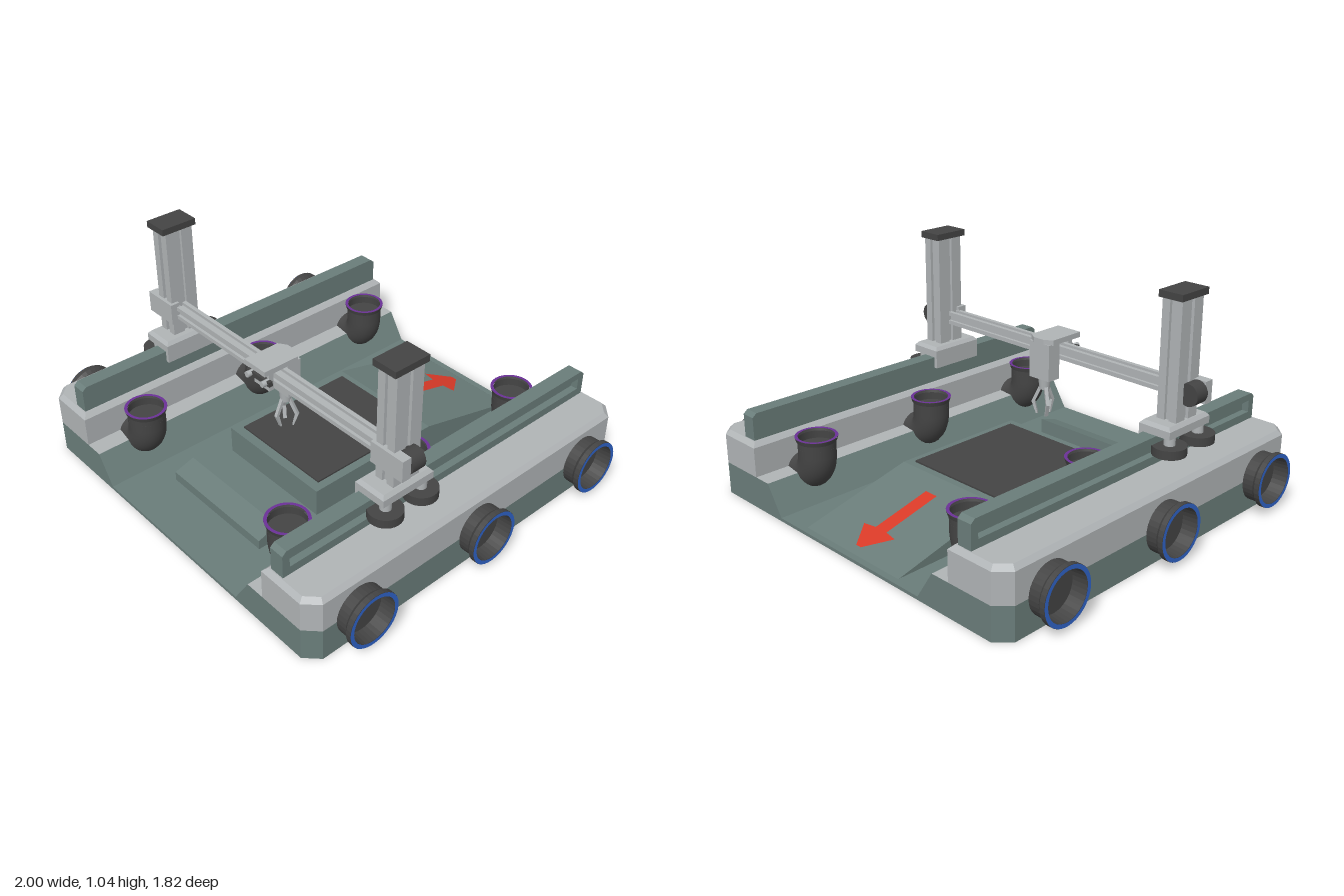
import * as THREE from 'three';

const mat = (name, color, side = THREE.FrontSide) => {
  const m = new THREE.MeshStandardMaterial({ color, side });
  m.name = name;
  return m;
};

export function createModel() {
  const D = THREE.DoubleSide;
  const grey = mat('light grey', 0xb0b4b6, D);
  const green = mat('grey green', 0x6a7d7a, D);
  const dark = mat('charcoal', 0x444444, D);
  const blue = mat('blue', 0x2f63c8, D);
  const purple = mat('purple', 0x6b3196, D);
  const red = mat('red', 0xd93a28, D);
  const root = new THREE.Group();

  const add = (name, geo, m, x = 0, y = 0, z = 0) => {
    const mesh = new THREE.Mesh(geo, m);
    mesh.name = name;
    mesh.position.set(x, y, z);
    root.add(mesh);
    return mesh;
  };
  // box between two corners, mirrored in x by s
  const box = (name, m, x0, x1, y0, y1, z0, z1, s = 1) =>
    add(name, new THREE.BoxGeometry(x1 - x0, y1 - y0, z1 - z0), m,
      s * (x0 + x1) / 2, (y0 + y1) / 2, (z0 + z1) / 2);

  // faceted skin through closed rings of points, optionally closed at the last ring
  const loft = (rings, cap, s) => {
    const p = [], n = rings[0].length;
    const tri = (a, b, c) => {
      for (const v of s > 0 ? [a, b, c] : [a, c, b]) p.push(v[0] * s, v[1], v[2]);
    };
    for (let r = 0; r + 1 < rings.length; r++) {
      const A = rings[r], B = rings[r + 1];
      for (let i = 0; i < n; i++) {
        const j = (i + 1) % n;
        tri(A[i], B[j], A[j]);
        tri(A[i], B[i], B[j]);
      }
    }
    const L = rings[rings.length - 1];
    if (cap) for (let i = 1; i + 1 < n; i++) tri(L[0], L[i + 1], L[i]);
    const g = new THREE.BufferGeometry();
    g.setAttribute('position', new THREE.Float32BufferAttribute(p, 3));
    g.computeVertexNormals();
    return g;
  };
  // plan outline of a side pod, corners cut on the outer side
  const ring = (xi, y, d = 0) => [
    [xi + d, y, 0.91 - d], [xi + d, y, -0.91 + d], [0.85 - d / 2, y, -0.91 + d],
    [0.91 - d, y, -0.85 + d / 2], [0.91 - d, y, 0.85 - d / 2], [0.85 - d / 2, y, 0.91 - d]];

  // slotted aluminium profile, w by h, extruded along z
  const slotted = (w, h, len) => {
    const a = w / 2, b = h / 2, g = 0.012, d = 0.014;
    const pts = [[-a, -b], [-g, -b], [-g, -b + d], [g, -b + d], [g, -b], [a, -b],
      [a, -g], [a - d, -g], [a - d, g], [a, g], [a, b],
      [g, b], [g, b - d], [-g, b - d], [-g, b], [-a, b],
      [-a, g], [-a + d, g], [-a + d, -g], [-a, -g]];
    const shape = new THREE.Shape(pts.map(([x, y]) => new THREE.Vector2(x, y)));
    return new THREE.ExtrudeGeometry(shape, { depth: len, bevelEnabled: false });
  };
  const rect = (C, x0, x1, y0, y1) => new C([[x0, y0], [x1, y0], [x1, y1], [x0, y1]]
    .map(([x, y]) => new THREE.Vector2(x, y)));
  // side profile (z, y) swept across the width in x
  const across = (pts, w) => {
    const g = loft([-w, w].map(x => pts.map(([z, y]) => [x, y, z])), false, 1);
    return g;
  };

  // floor sheet, open under the platform and the step
  const floor = rect(THREE.Shape, -0.45, 0.45, -0.91, 0.91);
  floor.holes.push(rect(THREE.Path, -0.3, 0.3, -0.35, 0.88), rect(THREE.Path, -0.3, 0.3, -0.67, -0.57));
  add('floor', new THREE.ExtrudeGeometry(floor, { depth: 0.015, bevelEnabled: false })
    .rotateX(-Math.PI / 2), green);

  // hollow shells: top skin swept in x, plus two side plates
  const shell = (name, pts) => {
    const skin = [...pts, ...pts.slice(1, -1).reverse()];
    add(name, across(skin, 0.3), green);
    const side = new THREE.Shape(pts.map(([z, y]) => new THREE.Vector2(-z, y)));
    for (const s of [-1, 1])
      add(name + 'Side', new THREE.ShapeGeometry(side).rotateY(Math.PI / 2), green, s * 0.3);
  };
  shell('platform', [[0.35, 0.01], [0.35, 0.147], [-0.34, 0.147], [-0.88, 0.014]]);
  shell('frontStep', [[0.67, 0.01], [0.67, 0.06], [0.57, 0.09], [0.57, 0.01]]);
  box('platformPad', dark, -0.26, 0.26, 0.147, 0.155, -0.305, 0.305);

  // painted arrow lying on the ramp
  const arrow = new THREE.Shape([[-0.035, 0.44], [0.035, 0.44], [0.035, 0.72], [0.1, 0.73],
    [0.015, 0.84], [-0.015, 0.84], [-0.1, 0.73], [-0.035, 0.72]].map(([x, y]) => new THREE.Vector2(x, y)));
  const arrowGeo = new THREE.ShapeGeometry(arrow).rotateX(-Math.PI / 2);
  const ap = arrowGeo.attributes.position;
  for (let i = 0; i < ap.count; i++)
    ap.setY(i, 0.147 + (ap.getZ(i) + 0.34) * (0.133 / 0.54) + 0.004);
  arrowGeo.computeVertexNormals();
  add('rampArrow', arrowGeo, red);

  for (const s of [-1, 1]) {
    // side pod, open underneath
    add('podBase', loft([ring(0.44, 0), ring(0.535, 0.15)], false, s), green);
    add('podTop', loft([ring(0.535, 0.15), ring(0.625, 0.15), ring(0.625, 0.288),
      ring(0.625, 0.308, 0.02)], true, s), grey);

    // rail with a channel on the outer side
    box('railWeb', green, 0.655, 0.692, 0.3, 0.415, -0.885, 0.885, s);
    box('railFoot', green, 0.692, 0.725, 0.3, 0.345, -0.885, 0.885, s);
    box('railLip', green, 0.692, 0.725, 0.4, 0.415, -0.885, 0.885, s);
    const capRing = (y, z) => [[0.655, y, z], [0.655, y, -z], [0.725, y, -z], [0.725, y, z]];
    add('railTop', loft([capRing(0.415, 0.885), capRing(0.432, 0.865)], true, s), green);
    for (const e of [-1, 1])
      box('railEnd', green, 0.692, 0.725, 0.345, 0.4, e * 0.8675 - 0.0175, e * 0.8675 + 0.0175, s);

    for (const z of [-0.67, 0, 0.67]) {
      // outer port, flared and hollow
      const port = new THREE.LatheGeometry([[0.112, 0], [0.112, 0.06], [0.125, 0.075], [0.125, 0.098],
        [0.106, 0.098], [0.1, 0.03], [0, 0.03]].map(([r, y]) => new THREE.Vector2(r, y)), 32)
        .toNonIndexed();
      port.computeVertexNormals();
      add('outerPort', port, dark, s * 0.9, 0.15, z).rotation.z = -s * Math.PI / 2;
      add('outerPortRing', new THREE.RingGeometry(0.106, 0.124, 32), blue, s * 0.9995, 0.15, z)
        .rotation.y = s * Math.PI / 2;

      // elbow pipe, slimmer where it enters the pod
      const path = new THREE.CurvePath();
      const v = (x, y) => new THREE.Vector3(s * x, y, z);
      path.add(new THREE.LineCurve3(v(0.72, 0.125), v(0.62, 0.125)));
      path.add(new THREE.QuadraticBezierCurve3(v(0.62, 0.125), v(0.495, 0.125), v(0.495, 0.235)));
      path.add(new THREE.LineCurve3(v(0.495, 0.235), v(0.495, 0.305)));
      const N = 20, R = 24, tube = new THREE.TubeGeometry(path, N, 0.085, R);
      const tp = tube.attributes.position, q = new THREE.Vector3();
      for (let i = 0; i < tp.count; i++) {
        const t = Math.floor(i / (R + 1)) / N, c = path.getPointAt(t);
        q.fromBufferAttribute(tp, i).sub(c).multiplyScalar(Math.min(1, 0.78 + 0.4 * t)).add(c);
        tp.setXYZ(i, q.x, q.y, q.z);
      }
      add('elbowPipe', tube, dark);
      add('elbowRim', new THREE.CylinderGeometry(0.096, 0.09, 0.02, 32, 1, true), dark, s * 0.495, 0.308, z);
      add('elbowRing', new THREE.RingGeometry(0.082, 0.096, 32), purple, s * 0.495, 0.319, z)
        .rotation.x = -Math.PI / 2;
      add('elbowInside', new THREE.CircleGeometry(0.085, 32), dark, s * 0.495, 0.27, z)
        .rotation.x = -Math.PI / 2;
    }

    // carriage riding on the rail
    const cr = (y, d) => [[0.635 + d, y, 0.44 - d], [0.635 + d, y, 0.165 + d],
      [0.795 - d, y, 0.165 + d], [0.795 - d, y, 0.44 - d]];
    add('carriage', loft([cr(0.434, 0), cr(0.468, 0), cr(0.484, 0.014)], true, s), grey);
    box('carriageBottom', grey, 0.637, 0.793, 0.434, 0.44, 0.167, 0.438, s);
    box('carriageGuide', grey, 0.635, 0.653, 0.38, 0.436, 0.165, 0.44, s);
    for (const z of [0.205, 0.4]) {
      add('railWheel', new THREE.CylinderGeometry(0.075, 0.075, 0.04, 28), dark, s * 0.767, 0.376, z);
      add('wheelAxle', new THREE.CylinderGeometry(0.025, 0.025, 0.05, 16), grey, s * 0.767, 0.415, z);
    }

    // upright column
    add('column', slotted(0.1, 0.14, 0.54).rotateX(-Math.PI / 2), grey, s * 0.725, 0.475, 0.3);
    box('columnCap', dark, 0.665, 0.785, 1.01, 1.04, 0.215, 0.39, s);
    box('beamBracket', grey, 0.66, 0.835, 0.555, 0.655, 0.34, 0.385, s);
    add('beamMotor', new THREE.CylinderGeometry(0.05, 0.05, 0.07, 24), dark, s * 0.797, 0.605, 0.305)
      .rotation.x = Math.PI / 2;
  }

  // cross beam
  add('crossBeam', slotted(0.064, 0.062, 1.36).rotateY(Math.PI / 2), grey, -0.68, 0.605, 0.322);

  // gripper trolley straddling the beam
  const cx = -0.007;
  const plate = new THREE.Shape([[-0.068, -0.42], [0.068, -0.42], [0.068, -0.24], [0.03, -0.215],
    [-0.03, -0.215], [-0.068, -0.24]].map(([x, y]) => new THREE.Vector2(x, y)));
  add('trolleyPlate', new THREE.ExtrudeGeometry(plate, { depth: 0.025, bevelEnabled: false })
    .rotateX(-Math.PI / 2), grey, cx, 0.652, 0);
  plate.name = 'plate';
  box('trolleyFront', grey, cx - 0.05, cx + 0.05, 0.555, 0.655, 0.36, 0.385);
  box('trolleyRoller', dark, cx - 0.075, cx + 0.075, 0.597, 0.62, 0.385, 0.405);
  for (const x of [-0.05, 0.05])
    add('rollerHub', new THREE.CylinderGeometry(0.014, 0.014, 0.04, 12), grey, cx + x, 0.608, 0.405)
      .rotation.x = Math.PI / 2;
  box('gripperHead', grey, cx - 0.06, cx + 0.06, 0.48, 0.655, 0.22, 0.29);
  add('gripperWrist', new THREE.CylinderGeometry(0.03, 0.024, 0.06, 16), grey, cx, 0.455, 0.258);

  // three bent fingers
  for (let i = 0; i < 3; i++) {
    const f = new THREE.Shape([[0.008, 0.44], [0.024, 0.44], [0.06, 0.36], [0.038, 0.3], [0.03, 0.3],
      [0.044, 0.36]].map(([x, y]) => new THREE.Vector2(x, y)));
    add('finger', new THREE.ExtrudeGeometry(f, { depth: 0.016, bevelEnabled: false })
      .translate(0, 0, -0.008), grey, cx, 0, 0.258).rotation.y = Math.PI / 6 + i * Math.PI * 2 / 3;
  }
  return root;
}
